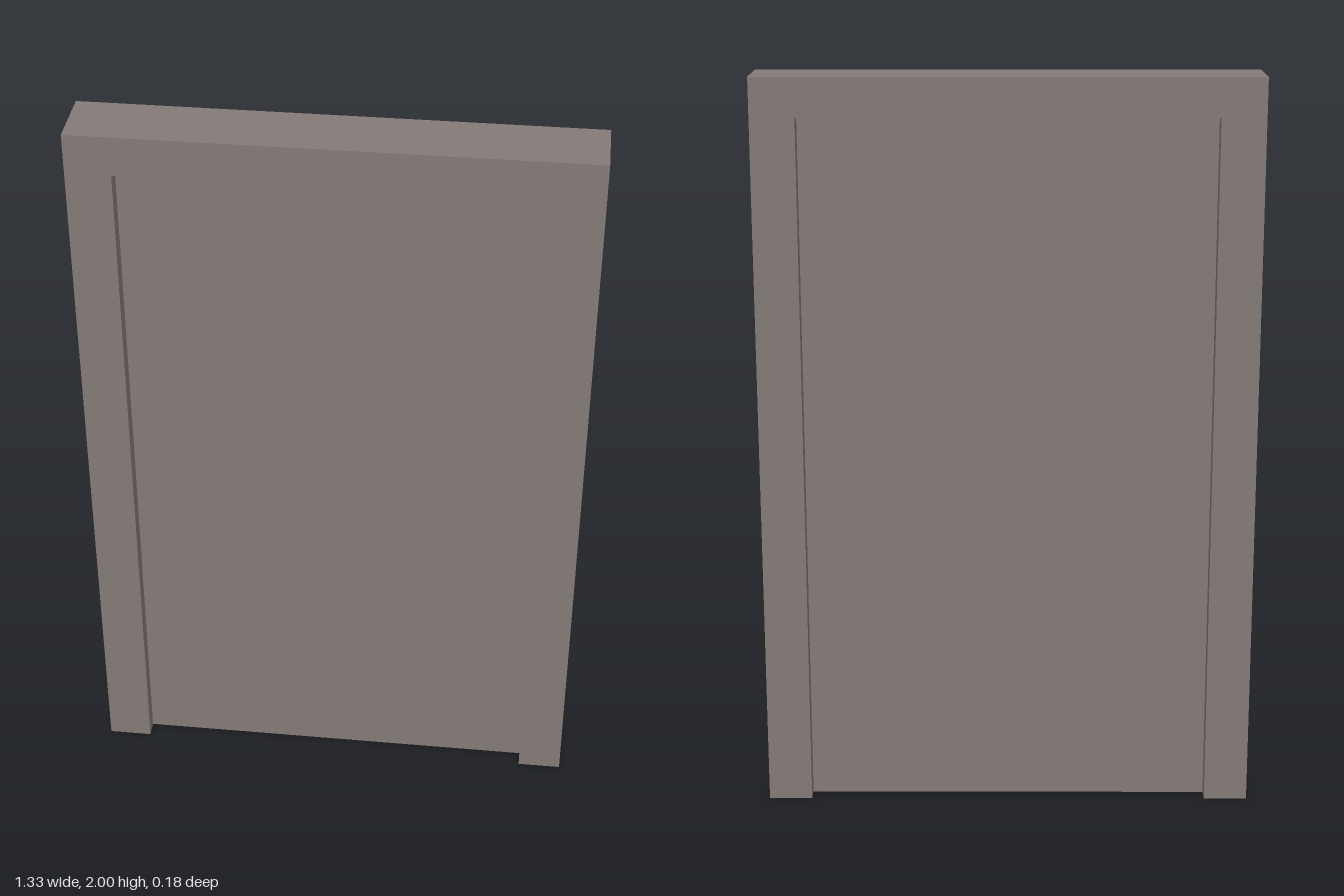
import * as THREE from 'three';

const W = 0.665, H = 2, D = 0.177;      // outer half width, height, depth
const IW = 0.547, IH = 1.895;           // opening half width and height

// Removes the triangles lying on the floor, leaving the jambs open underneath
function openBottom(geometry) {
  const p = geometry.attributes.position;
  const kept = [];
  for (let i = 0; i < p.count; i += 3) {
    const onFloor = [0, 1, 2].every((k) => Math.abs(p.getY(i + k)) < 1e-5);
    if (!onFloor) for (let k = 0; k < 3; k++) kept.push(p.getX(i + k), p.getY(i + k), p.getZ(i + k));
  }
  const result = new THREE.BufferGeometry();
  result.setAttribute('position', new THREE.Float32BufferAttribute(kept, 3));
  result.computeVertexNormals();
  return result;
}

export function createModel() {
  const model = new THREE.Group();
  model.name = 'door';
  const greyBrown = new THREE.MeshStandardMaterial({ color: 0x847a77, side: THREE.DoubleSide });
  greyBrown.name = 'greyBrown';

  // Frame: two jambs and a lintel in one hollow piece
  const outline = new THREE.Shape([
    [-W, 0], [-IW, 0], [-IW, IH], [IW, IH], [IW, 0], [W, 0], [W, H], [-W, H],
  ].map(([x, y]) => new THREE.Vector2(x, y)));
  const extruded = new THREE.ExtrudeGeometry(outline, { depth: D, bevelEnabled: false });
  extruded.translate(0, 0, -D / 2);
  const frame = new THREE.Mesh(openBottom(extruded), greyBrown);
  frame.name = 'doorFrame';
  model.add(frame);

  // Panel: recessed equally on both sides
  const panel = new THREE.Mesh(new THREE.BoxGeometry(2 * IW, IH, D / 2), greyBrown);
  panel.name = 'doorPanel';
  panel.position.y = IH / 2;
  model.add(panel);

  return model;
}
